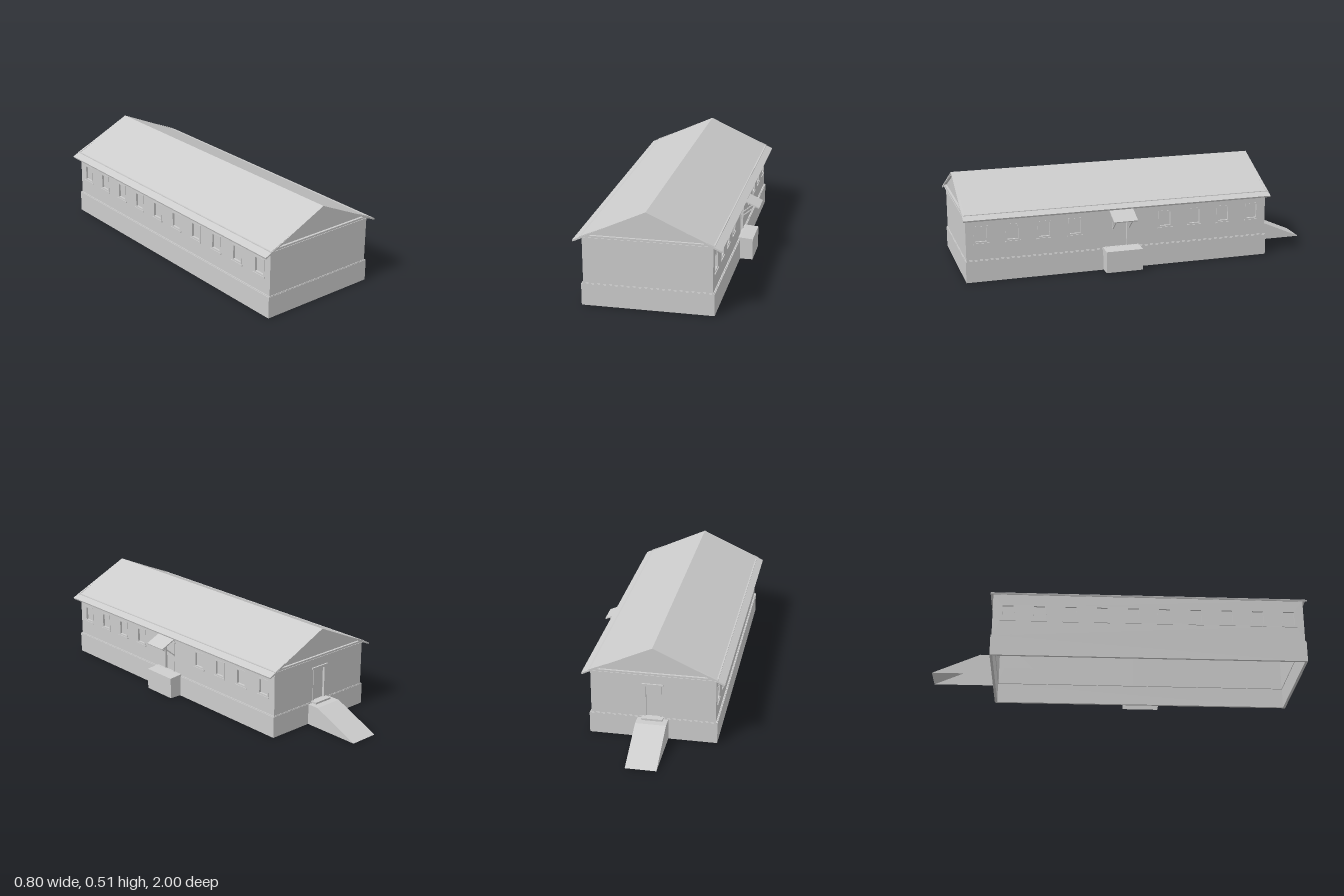
import * as THREE from 'three';

const mat = new THREE.MeshStandardMaterial({ color: 0xcccccc, flatShading: true, side: THREE.DoubleSide });
const HALF_W = 0.325, HALF_L = 0.83, EAVE = 0.36, T = 0.012;

function add(parent, name, geo) {
  const m = new THREE.Mesh(geo, mat);
  m.name = name;
  parent.add(m);
  return m;
}

function box(parent, name, w, h, d, x, y, z) {
  const m = add(parent, name, new THREE.BoxGeometry(w, h, d));
  m.position.set(x, y, z);
  return m;
}

const outline = (pts) => new THREE.Shape(pts.map(([x, y]) => new THREE.Vector2(x, y)));
const rect = (x0, y0, x1, y1) => [[x0, y0], [x1, y0], [x1, y1], [x0, y1]];

// extruded outline with holes, running from z0 to z1
function slab(pts, holes, z0, z1) {
  const s = outline(pts);
  s.holes = holes.map(outline);
  return new THREE.ExtrudeGeometry(s, { depth: z1 - z0, bevelEnabled: false }).translate(0, 0, z0);
}

// open shell made of flat convex panels
function panels(list) {
  const pos = [];
  for (const p of list)
    for (let i = 1; i < p.length - 1; i++) pos.push(...p[0], ...p[i], ...p[i + 1]);
  const g = new THREE.BufferGeometry();
  g.setAttribute('position', new THREE.Float32BufferAttribute(pos, 3));
  g.computeVertexNormals();
  return g;
}

// wall with recessed windows and an optional door; outside faces local +z
function wall(parent, name, pts, windows, door) {
  const g = new THREE.Group();
  g.name = name;
  parent.add(g);
  const holes = windows.map((u) => rect(u - 0.037, 0.207, u + 0.037, 0.298));
  if (door) holes.push(rect(-door.w, 0.12, door.w, door.top));
  add(g, 'wallPanel', slab(pts, holes, -T, 0));

  for (const u of windows) {
    box(g, 'windowPane', 0.074, 0.091, 0.002, u, 0.2525, -T + 0.001);
    add(g, 'windowFrame', slab(rect(u - 0.037, 0.207, u + 0.037, 0.298),
      [rect(u - 0.029, 0.215, u + 0.029, 0.29)], -T + 0.002, 0.002));
    box(g, 'windowSill', 0.084, 0.007, 0.008, u, 0.2035, 0.002);
  }
  if (door) {
    const { w, top } = door;
    box(g, 'doorPanel', 2 * w, top - 0.12, 0.002, 0, (top + 0.12) / 2, -T + 0.001);
    add(g, 'doorFrame', slab(
      [[-w, 0.12], [-w + 0.009, 0.12], [-w + 0.009, top - 0.009], [w - 0.009, top - 0.009],
        [w - 0.009, 0.12], [w, 0.12], [w, top], [-w, top]], [], -T + 0.002, 0.003));
    box(g, 'doorLintel', 2 * w + 0.02, 0.008, 0.01, 0, top + 0.004, 0.003);
  }
  return g;
}

export function createModel() {
  const root = new THREE.Group();
  root.name = 'longHouse';
  const house = new THREE.Group();
  house.name = 'house';
  house.position.set(-0.03, 0, 0.155);
  root.add(house);

  // hollow plinth with a small ledge on top
  const ring = (w, l, inner, y0, y1) =>
    slab(rect(-w, -l, w, l), [rect(-inner, -l + (w - inner), inner, l - (w - inner))], y0, y1)
      .rotateX(-Math.PI / 2);
  add(house, 'plinth', ring(0.334, 0.835, 0.32, 0, 0.114));
  add(house, 'plinthLedge', ring(0.33, 0.833, 0.32, 0.114, 0.118));

  // long walls
  const all = [], outer = [];
  for (let i = 0; i < 10; i++) {
    const u = (i - 4.5) / 6;
    all.push(u);
    if (i !== 4 && i !== 5) outer.push(u);
  }
  const side = rect(-HALF_L + 0.001, 0.112, HALF_L - 0.001, EAVE);
  const leftWall = wall(house, 'leftWall', side, outer, { w: 0.043, top: 0.29 });
  leftWall.rotation.y = Math.PI / 2;
  leftWall.position.x = HALF_W;
  const rightWall = wall(house, 'rightWall', side, all);
  rightWall.rotation.y = -Math.PI / 2;
  rightWall.position.x = -HALF_W;

  // end walls with gables, cornice and raking boards
  const gable = [[-HALF_W, 0.112], [HALF_W, 0.112], [HALF_W, EAVE], [0, 0.507], [-HALF_W, EAVE]];
  for (const s of [1, -1]) {
    const end = wall(house, s > 0 ? 'frontWall' : 'backWall', gable, [],
      s > 0 ? null : { w: 0.046, top: 0.3 });
    end.rotation.y = s > 0 ? 0 : Math.PI;
    end.position.z = s * HALF_L;
    add(end, 'gableTrim', slab([[-0.334, 0.358], [0.334, 0.358], [0.334, 0.364], [0, 0.508], [-0.334, 0.364]],
      [[[-0.291, 0.372], [0.291, 0.372], [0, 0.5]]], 0, 0.012));
    box(end, 'cornice', 0.67, 0.004, 0.015, 0, 0.36, 0.0075);
  }
  // eave boards under the roof edges
  for (const s of [1, -1])
    box(house, 'eaveBoard', 0.009, 0.008, 1.67, s * (HALF_W + 0.0045), 0.36, 0);

  // gabled roof
  add(house, 'roof', slab([[-0.37, 0.344], [-0.367, 0.336], [0, 0.506], [0.367, 0.336], [0.37, 0.344], [0, 0.514]],
    [], -0.843, 0.845));

  // side porch, open underneath
  const a = 0.334, b = 0.403, w = 0.1;
  add(house, 'porch', panels([
    [[a, 0.125, w], [b, 0.119, w], [b, 0.119, -w], [a, 0.125, -w]],
    [[b, 0.003, w], [b, 0.003, -w], [b, 0.119, -w], [b, 0.119, w]],
    [[a, 0.003, w], [b, 0.003, w], [b, 0.119, w], [a, 0.125, w]],
    [[b, 0.003, -w], [a, 0.003, -w], [a, 0.125, -w], [b, 0.119, -w]],
  ]));
  box(house, 'porchThreshold', 0.012, 0.012, 0.2, 0.33, 0.119, 0);

  // canopy on two struts
  add(house, 'canopy', slab([[0.322, 0.33], [0.428, 0.283], [0.43, 0.288], [0.324, 0.336]], [], -0.065, 0.065));
  for (const z of [-0.045, 0.045]) {
    add(house, 'canopyStrut', slab([[0.328, 0.219], [0.411, 0.288], [0.406, 0.291], [0.328, 0.225]],
      [], z - 0.003, z + 0.003));
    box(house, 'strutPost', 0.005, 0.11, 0.006, 0.3275, 0.274, z);
  }

  // back entrance ramp, open underneath
  const r = 0.08, z0 = -0.835, z1 = -0.9, z2 = -1.155, top = 0.112;
  add(house, 'ramp', panels([
    [[-r, top, z0], [r, top, z0], [r, top, z1], [-r, top, z1]],
    [[-r, top, z1], [r, top, z1], [r, 0, z2], [-r, 0, z2]],
    [[r, 0, z0], [r, 0, z2], [r, top, z1], [r, top, z0]],
    [[-r, 0, z2], [-r, 0, z0], [-r, top, z0], [-r, top, z1]],
  ]));
  box(house, 'backStep', 0.11, 0.01, 0.035, 0, 0.118, -0.8475);
  return root;
}
